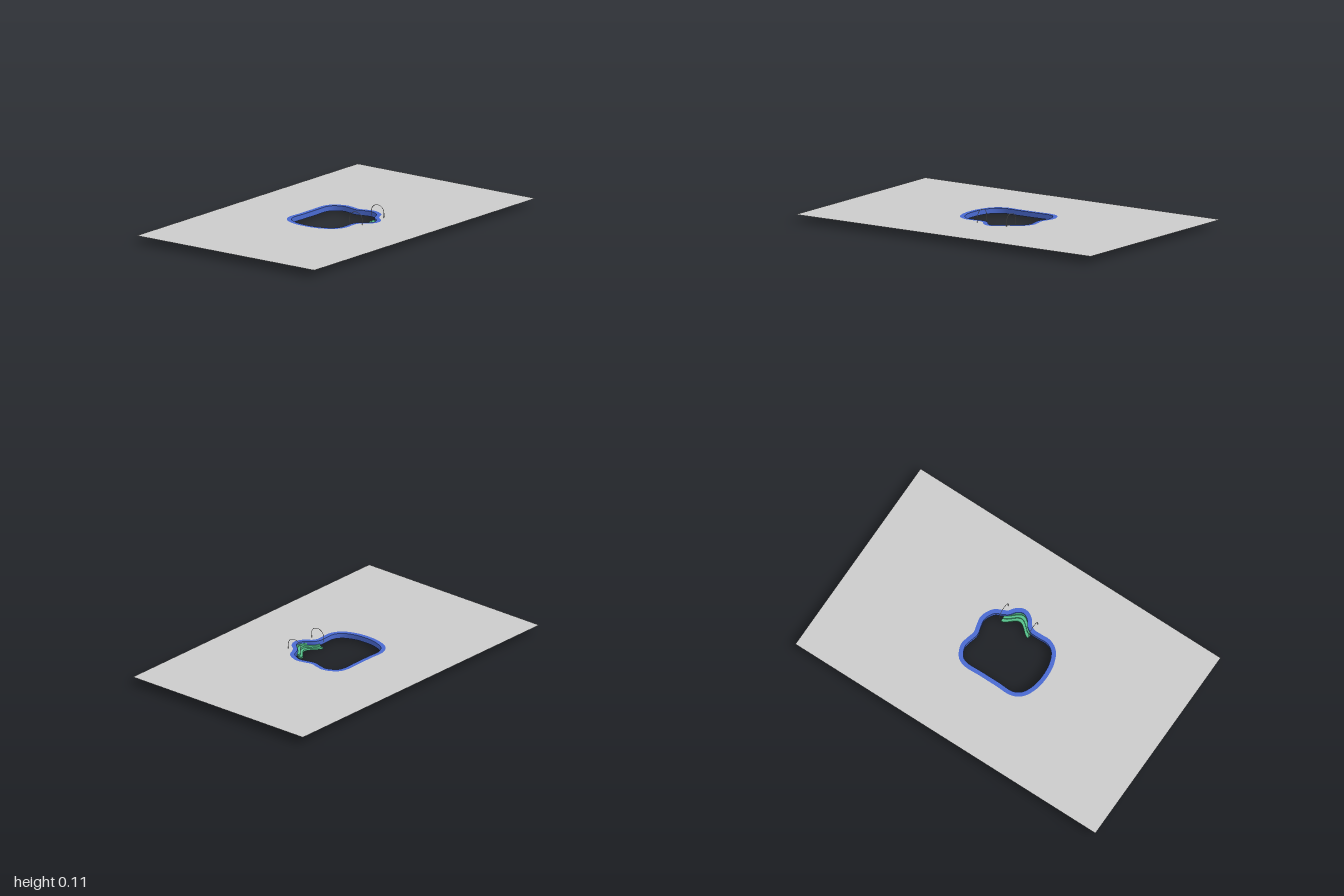
import * as THREE from 'three';

const LEVEL = 0.041, WALL_BOTTOM = 0.012, COPING = 0.026;

function mesh(name, geometry, color) {
  const m = new THREE.Mesh(geometry, new THREE.MeshStandardMaterial({ color, side: THREE.DoubleSide }));
  m.name = name;
  return m;
}

// Closed band of faces between two loops of Vector3
function band(a, b) {
  const n = a.length, index = [];
  for (let i = 0; i < n; i++) {
    const j = (i + 1) % n;
    index.push(i, i + n, j, i + n, j + n, j);
  }
  const g = new THREE.BufferGeometry().setFromPoints([...a, ...b]);
  g.setIndex(index);
  g.computeVertexNormals();
  return g;
}

// Points [x, z] on the floor plan to shape coordinates
const plan = (points) => points.map(([x, z]) => new THREE.Vector2(x, -z));

export function createModel() {
  const group = new THREE.Group();
  group.name = 'swimmingPool';

  // Inner edge of the basin as [x, z]
  const edge = [
    [-0.182, -0.15], [-0.182, -0.05], [-0.182, 0.06], [-0.182, 0.155], [-0.155, 0.2],
    [-0.09, 0.231], [-0.012, 0.24], [0.066, 0.231], [0.131, 0.2], [0.158, 0.155],
    [0.158, 0.1], [0.16, 0.045], [0.18, 0.01], [0.216, -0.018], [0.232, -0.052],
    [0.216, -0.086], [0.18, -0.115], [0.16, -0.15], [0.142, -0.185], [0.085, -0.213],
    [0.045, -0.207], [-0.012, -0.194], [-0.069, -0.207], [-0.109, -0.213], [-0.166, -0.185],
  ];
  const curve = new THREE.CatmullRomCurve3(
    edge.map(([x, z]) => new THREE.Vector3(x, LEVEL, z)), true, 'centripetal');
  const N = 160, inner = [], outer = [], bottom = [];
  for (let i = 0; i < N; i++) {
    const p = curve.getPointAt(i / N), t = curve.getTangentAt(i / N);
    inner.push(p);
    outer.push(new THREE.Vector3(p.x - t.z * COPING, LEVEL, p.z + t.x * COPING));
    bottom.push(new THREE.Vector3(p.x, WALL_BOTTOM, p.z));
  }
  group.add(mesh('poolWall', band(bottom, inner), 0x4a6ad0));
  group.add(mesh('coping', band(inner, outer), 0x4a6ad0));

  // Flat ground with an opening along the coping
  const ground = new THREE.Shape(plan([[-0.622, 1], [0.622, 1], [0.622, -1], [-0.622, -1]]));
  ground.holes.push(new THREE.Path(plan(outer.map((p) => [p.x, p.z]))));
  const groundGeometry = new THREE.ShapeGeometry(ground).rotateX(-Math.PI / 2).translate(0, LEVEL, 0);
  group.add(mesh('ground', groundGeometry, 0xcccccc));

  // Three curved treads rising into the alcove
  const steps = new THREE.Group();
  steps.name = 'entrySteps';
  for (let s = 0; s < 3; s++) {
    const front = [], back = [];
    for (let i = 0; i <= 24; i++) {
      const t = i / 12 - 1, z = -0.047 + 0.091 * t;
      const x = 0.134 + s * 0.019 + 0.027 * (1 + Math.cos(Math.PI * t));
      front.push([x, z]);
      back.unshift([x + 0.026, z]);
    }
    const g = new THREE.ExtrudeGeometry(new THREE.Shape(plan([...front, ...back])),
      { depth: 0.011, bevelEnabled: false });
    g.rotateX(-Math.PI / 2).translate(0, s * 0.01, 0);
    steps.add(mesh('step' + (s + 1), g, 0x55c08a));
  }
  group.add(steps);

  // Thin arched handrails either side of the steps
  const x0 = 0.134, x1 = 0.222, mid = (x0 + x1) / 2, r = (x1 - x0) / 2;
  for (const [name, z] of [['frontHandrail', 0.05], ['backHandrail', -0.147]]) {
    const points = [new THREE.Vector3(x0, LEVEL, z)];
    for (let i = 0; i <= 12; i++) {
      const a = Math.PI * (1 - i / 12);
      points.push(new THREE.Vector3(mid + r * Math.cos(a), 0.069 + 0.04 * Math.sin(a), z));
    }
    points.push(new THREE.Vector3(x1, LEVEL, z));
    const path = new THREE.CatmullRomCurve3(points, false, 'centripetal');
    group.add(mesh(name, new THREE.TubeGeometry(path, 48, 0.0015, 8), 0xcccccc));
  }
  return group;
}
